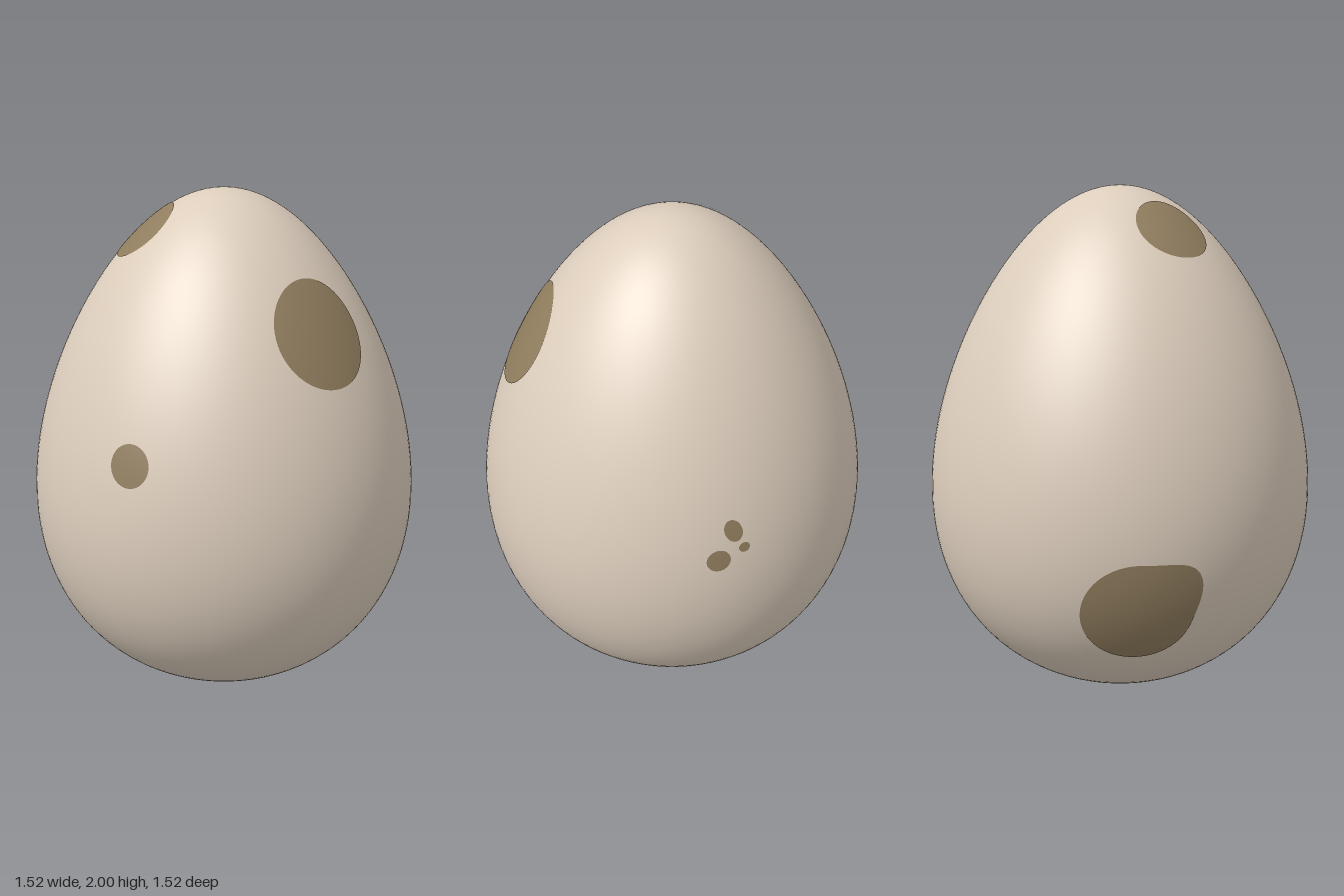
import * as THREE from 'three';
import { mergeVertices } from 'three/addons/utils/BufferGeometryUtils.js';

const CENTRE = new THREE.Vector3(0, 1, 0);
const rad = THREE.MathUtils.degToRad;

// Egg radius at height y: a sphere tapered towards the top
function eggRadius(y) {
  const h = y - 1;
  return 0.743 * Math.sqrt(Math.max(0, 1 - h * h)) * (1 - 0.217 * h);
}

// Move a point along its ray from the egg's centre onto the shell, plus a small lift
function projectToEgg(p, lift) {
  const d = p.clone().sub(CENTRE).normalize();
  const across = Math.hypot(d.x, d.z);
  let lo = 0, hi = 1.5;
  for (let i = 0; i < 40; i++) {
    const k = (lo + hi) / 2;
    if (Math.abs(k * d.y) < 1 && k * across < eggRadius(1 + k * d.y)) lo = k;
    else hi = k;
  }
  return d.multiplyScalar(lo + lift).add(CENTRE);
}

// A thin painted patch wrapped on the shell; azimuth 0 is the front, 90 is +x
function makeSpot({ name, azimuth, y, width, height, tilt = 0, point = null }, material) {
  const a = rad(azimuth), r = eggRadius(y), e = 0.01;
  const out = new THREE.Vector3(Math.sin(a), 0, Math.cos(a));
  const origin = out.clone().multiplyScalar(r).setY(y);
  const side = new THREE.Vector3(Math.cos(a), 0, -Math.sin(a));
  const slope = (eggRadius(y + e) - eggRadius(y - e)) / (2 * e);
  const up = out.clone().multiplyScalar(slope).setY(1).normalize();

  let geometry = new THREE.RingGeometry(0, 1, 64, 8);
  geometry.deleteAttribute('uv');
  geometry.deleteAttribute('normal');
  geometry = mergeVertices(geometry, 1e-5);
  const pos = geometry.attributes.position;
  const c = Math.cos(rad(tilt)), s = Math.sin(rad(tilt));
  for (let i = 0; i < pos.count; i++) {
    let px = pos.getX(i), py = pos.getY(i);
    if (point) {
      // pull one side of the outline out to a blunt corner
      const turn = Math.cos(Math.atan2(py, px) - rad(point.angle));
      const grow = 1 + point.amount * Math.pow(Math.max(0, turn), 9);
      px *= grow;
      py *= grow;
    }
    px *= width / 2;
    py *= height / 2;
    const p = origin.clone()
      .addScaledVector(side, px * c - py * s)
      .addScaledVector(up, px * s + py * c);
    const q = projectToEgg(p, 0.003);
    pos.setXYZ(i, q.x, q.y, q.z);
  }
  geometry.computeVertexNormals();
  const mesh = new THREE.Mesh(geometry, material);
  mesh.name = name;
  return mesh;
}

export function createModel() {
  const shellMaterial = new THREE.MeshStandardMaterial({ color: 0xdccdbc });
  shellMaterial.name = 'cream shell';
  const spotMaterial = new THREE.MeshStandardMaterial({ color: 0x907d5e });
  spotMaterial.name = 'olive brown spot';

  const group = new THREE.Group();
  group.name = 'speckledEgg';

  // Shell
  const profile = [];
  for (let i = 0; i <= 72; i++) {
    const y = 1 - Math.cos((i / 72) * Math.PI);
    profile.push(new THREE.Vector2(i % 72 ? eggRadius(y) : 0, y));
  }
  const shell = new THREE.Mesh(new THREE.LatheGeometry(profile, 112), shellMaterial);
  shell.name = 'shell';
  group.add(shell);

  // Painted spots
  const spots = [
    { name: 'largeFrontSpot', azimuth: 32, y: 1.545, width: 0.405, height: 0.43 },
    { name: 'smallFrontSpot', azimuth: -35.6, y: 1.11, width: 0.155, height: 0.16 },
    { name: 'topSpot', azimuth: -87.6, y: 1.862, width: 0.3, height: 0.295 },
    { name: 'lowerBackSpot', azimuth: -122, y: 0.5, width: 0.43, height: 0.44,
      point: { angle: 34, amount: 0.32 } },
    { name: 'upperSpeckle', azimuth: 133.4, y: 1.1, width: 0.066, height: 0.094, tilt: 20 },
    { name: 'lowerSpeckle', azimuth: 128.8, y: 0.987, width: 0.09, height: 0.088, tilt: 15 },
    { name: 'tinySpeckle', azimuth: 136.4, y: 1.025, width: 0.042, height: 0.04 },
  ];
  for (const spot of spots) group.add(makeSpot(spot, spotMaterial));

  return group;
}
